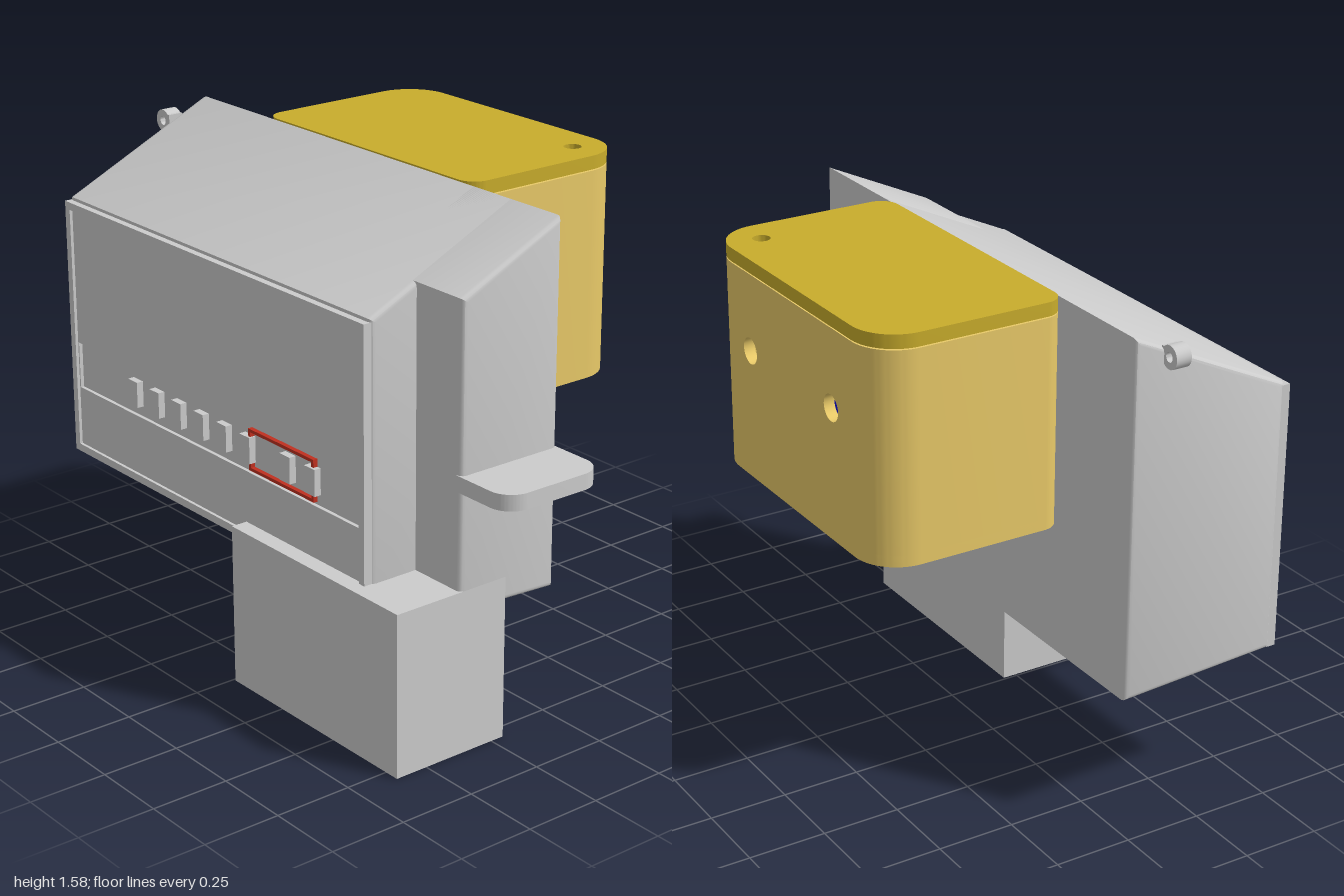
import * as THREE from 'three';
import { toCreasedNormals } from 'three/addons/utils/BufferGeometryUtils.js';

const mat = (color) => new THREE.MeshStandardMaterial({ color });
const grey = mat(0xcccccc), yellow = mat(0xe8c968), lidYellow = mat(0xc8ac2c);
const blue = mat(0x1010e0), cyan = mat(0x10a0d0), red = mat(0xc03020);

export function createModel() {
  const model = new THREE.Group();

  const add = (name, geometry, material = grey) => {
    const mesh = new THREE.Mesh(geometry, material);
    mesh.name = name;
    model.add(mesh);
    return mesh;
  };
  // Box given by its limits on each axis
  const box = (name, [x0, x1], [y0, y1], [z0, z1], material) =>
    add(name, new THREE.BoxGeometry(x1 - x0, y1 - y0, z1 - z0), material)
      .position.set((x0 + x1) / 2, (y0 + y1) / 2, (z0 + z1) / 2);
  const polygon = (pts) => new THREE.Shape(pts.map(([x, y]) => new THREE.Vector2(x, y)));
  const extrude = (shape, depth, extra = {}) => toCreasedNormals(
    new THREE.ExtrudeGeometry(shape, { depth, bevelEnabled: false, curveSegments: 12, ...extra }), 0.6);
  const circle = (x, y, r) => new THREE.Path().absarc(x, y, r, 0, Math.PI * 2, true);
  const rect = (a0, a1, b0, b1) => [[a0, b0], [a1, b0], [a1, b1], [a0, b1]];

  // Rectangle with one radius on the low-x corners and another on the high-x corners
  const roundRect = (x0, x1, z0, z1, rl, rh) => {
    const s = new THREE.Shape(), P = Math.PI;
    s.absarc(x0 + rl, z0 + rl, rl, P, 1.5 * P);
    s.absarc(x1 - rh, z0 + rh, rh, 1.5 * P, 2 * P);
    s.absarc(x1 - rh, z1 - rh, rh, 0, P / 2);
    s.absarc(x0 + rl, z1 - rl, rl, P / 2, P);
    s.closePath();
    return s;
  };
  // Plan shape (x, z) extruded between two heights
  const slab = (name, shape, y0, y1, material) =>
    add(name, extrude(shape, y1 - y0).rotateX(Math.PI / 2).translate(0, y1, 0), material);
  // Side shape (z, y) extruded between two x positions
  const sidePlate = (name, shape, x0, x1, material) =>
    add(name, extrude(shape, x1 - x0).rotateY(-Math.PI / 2).translate(x1, 0, 0), material);

  // Housing: sloping-top profile with softened ends, stepped at the front
  const xr = -0.015;
  const topAt = (x) => 1.575 + (x - xr) * 0.464;
  const bottomAt = (x) => 0.435 - (x - xr) * 0.055;
  const housing = (name, xl, z0, z1) => {
    const b = 0.018;
    const s = polygon([[xl, bottomAt(xl)], [xr, bottomAt(xr)], [xr, topAt(xr)], [xl, topAt(xl)]]);
    add(name, extrude(s, z1 - z0 - 2 * b, {
      bevelEnabled: true, bevelSize: b, bevelThickness: b, bevelOffset: -b, bevelSegments: 3,
    }).translate(0, 0, z0 + b));
  };
  housing('housing', -0.543, -0.94, 0.6);
  housing('housingFront', -0.378, 0.4, 0.8);

  // Display side: rim, panel and recessed strip
  const zA = -0.935, zB = 0.595, yA = 0.467, yB = 1.32;
  const rim = polygon(rect(zA, zB, yA, yB));
  rim.holes.push(polygon(rect(zA + 0.025, zB - 0.025, yA + 0.025, yB - 0.025)));
  sidePlate('displayRim', rim, -0.565, -0.535);
  const panel = polygon(rect(zA + 0.02, zB - 0.02, yA + 0.02, yB - 0.02));
  panel.holes.push(polygon(rect(zA + 0.03, zB - 0.03, 0.69, 0.845)));
  sidePlate('displayPanel', panel, -0.555, -0.535);

  // Plain raised counter segments and the red window frame
  for (let i = 0; i < 8; i++) {
    const z = -0.58 + i * 0.12 + (i > 5 ? 0.08 : 0);
    box('counterSegment', [-0.566, -0.54], [0.725, 0.81], [z - 0.025, z + 0.025]);
  }
  const frame = polygon(rect(0.03, 0.35, 0.7, 0.835));
  frame.holes.push(polygon(rect(0.04, 0.34, 0.71, 0.825)));
  sidePlate('counterFrame', frame, -0.558, -0.54, red);

  // Foot
  box('foot', [-0.61, -0.205], [0, 0.522], [0.008, 0.8]);

  // Front tab, rounded at its outer corners
  const tab = new THREE.Shape();
  tab.moveTo(-0.38, 0.78);
  tab.lineTo(xr, 0.78);
  tab.absarc(xr - 0.075, 0.925, 0.075, 0, Math.PI / 2);
  tab.absarc(-0.305, 0.925, 0.075, Math.PI / 2, Math.PI);
  tab.closePath();
  slab('frontTab', tab, 0.83, 0.88);

  // Eyelet on the back
  const eye = new THREE.Shape().absarc(-0.964, 1.51, 0.036, 0, Math.PI * 2);
  eye.holes.push(circle(-0.964, 1.51, 0.015));
  sidePlate('eyelet', eye, -0.16, -0.11);
  box('eyeletNeck', [-0.16, -0.11], [1.485, 1.535], [-0.945, -0.928]);

  // Hollow side box: rounded wall, open where the drilled face plate sits
  const x1 = 0.605, z0 = -0.595, z1 = 0.41, r = 0.14, t = 0.035, P = Math.PI;
  const wall = new THREE.Shape();
  wall.absarc(x1 - r, z1 - r, r, 0, P / 2);
  wall.absarc(xr + 0.06, z1 - 0.06, 0.06, P / 2, P);
  wall.absarc(xr + 0.06, z0 + 0.06, 0.06, P, 1.5 * P);
  wall.absarc(x1 - r, z0 + r, r, 1.5 * P, 2 * P);
  wall.absarc(x1 - r, z0 + r, r - t, 2 * P, 1.5 * P, true);
  wall.absarc(xr + 0.06, z0 + 0.06, 0.06 - t, 1.5 * P, P, true);
  wall.absarc(xr + 0.06, z1 - 0.06, 0.06 - t, P, P / 2, true);
  wall.absarc(x1 - r, z1 - r, r - t, P / 2, 0, true);
  wall.closePath();
  slab('boxWall', wall, 0.865, 1.533, yellow);

  const face = polygon(rect(z0 + r, z1 - r, 0.865, 1.533));
  for (const z of [0.165, -0.33]) face.holes.push(circle(z, 1.285, 0.042));
  sidePlate('boxFace', face, x1 - t, x1, yellow);

  // Box floor with a cable slot
  const floor = roundRect(xr, x1, z0, z1, 0.06, r);
  floor.holes.push(roundRect(0.115, 0.175, -0.425, -0.255, 0.029, 0.029));
  slab('boxFloor', floor, 0.865, 0.9, yellow);

  // Lid with a screw hole
  const lid = roundRect(xr, x1, z0, z1, 0.06, r);
  lid.holes.push(circle(0.49, 0.295, 0.028));
  slab('boxLid', lid, 1.537, 1.58, lidYellow);

  // Contents seen through the holes
  box('battery', [0.1, 0.4], [0.95, 1.4], [-0.1, 0.16], blue);
  box('circuitBoard', [0.1, 0.13], [0.95, 1.45], [-0.52, -0.2], cyan);
  box('boardModule', [0.13, 0.2], [1.265, 1.42], [-0.48, -0.31]);

  return model;
}
